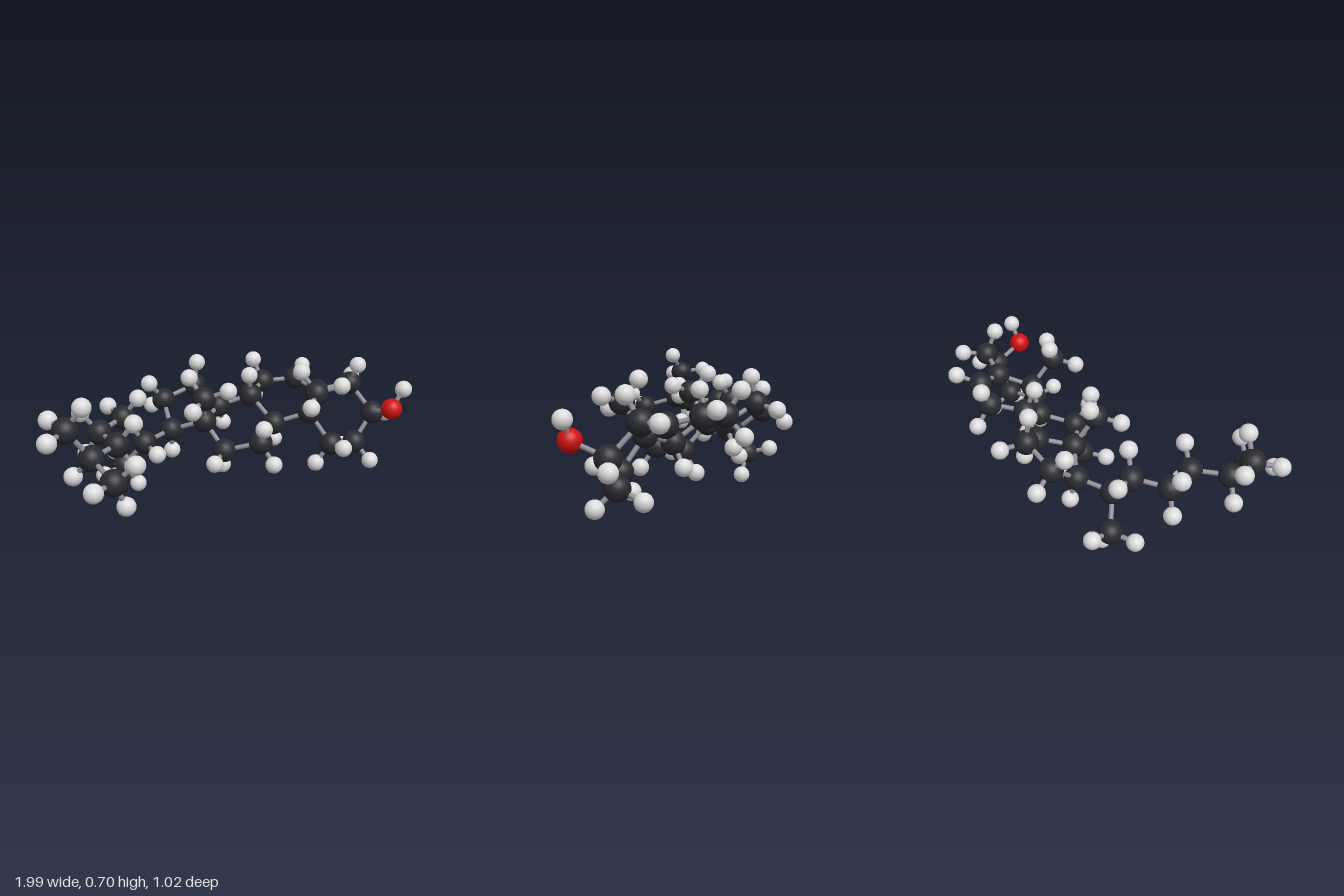
import * as THREE from 'three';

const V = (x, y, z) => new THREE.Vector3(x, y, z);
const H_LENGTH = 0.129;

// Carbon positions, numbered along the skeleton; the last entry is the oxygen
const HEAVY = {
  1: V(0.55, 0.25, 0.19), 2: V(0.725, 0.22, 0.155), 3: V(0.83, 0.37, 0.16), 4: V(0.765, 0.51, 0.04),
  5: V(0.6, 0.475, -0.025), 6: V(0.56, 0.51, -0.18), 7: V(0.4, 0.495, -0.255), 8: V(0.26, 0.465, -0.145),
  9: V(0.317, 0.345, 0.003), 10: V(0.472, 0.405, 0.097), 11: V(0.172, 0.295, 0.117), 12: V(0.02, 0.248, 0.015),
  13: V(-0.035, 0.38, -0.097), 14: V(0.105, 0.41, -0.213), 15: V(0.032, 0.5, -0.347), 16: V(-0.145, 0.44, -0.36),
  17: V(-0.168, 0.32, -0.215), 18: V(-0.088, 0.53, 0), 19: V(0.43, 0.545, 0.215), 20: V(-0.343, 0.298, -0.152),
  21: V(-0.422, 0.158, -0.25), 22: V(-0.455, 0.448, -0.155), 23: V(-0.608, 0.425, -0.063), 24: V(-0.588, 0.415, 0.112),
  25: V(-0.745, 0.412, 0.215), 26: V(-0.85, 0.555, 0.205), 27: V(-0.713, 0.36, 0.398), O: V(0.82, 0.435, 0.325),
};

// Runs of bonded atoms: rings, side chain and branches
const CHAINS = [
  [1, 2, 3, 4, 5, 6, 7, 8, 9, 10, 1], [5, 10, 19], [9, 11, 12, 13, 14, 8], [14, 15, 16, 17, 13, 18],
  [17, 20, 22, 23, 24, 25, 26], [20, 21], [25, 27], [3, 'O'],
];
const NO_HYDROGEN = [5, 10, 13];

// Directions of the hydrogens that complete a carbon
function hydrogenDirections(id, links) {
  const here = HEAVY[id];
  const dirs = links[id].map((n) => HEAVY[n].clone().sub(here).normalize());
  const away = dirs.reduce((s, d) => s.sub(d), V(0, 0, 0)).normalize();
  if (dirs.length === 3 || id === 6) return [away];
  if (dirs.length === 2) {
    const side = dirs[0].clone().cross(dirs[1]).normalize();
    return [1, -1].map((s) => away.clone().multiplyScalar(0.588).addScaledVector(side, s * 0.809));
  }
  // Methyl end, staggered against its parent carbon
  const parent = links[id][0];
  const other = links[parent].find((n) => n !== id);
  const out = HEAVY[other].clone().sub(HEAVY[parent]);
  out.addScaledVector(away, -out.dot(away)).normalize();
  const first = away.clone().multiplyScalar(0.333).addScaledVector(out, -0.943);
  return [0, 1, 2].map((k) => first.clone().applyAxisAngle(away, (k * Math.PI * 2) / 3));
}

export function createModel() {
  const model = new THREE.Group();
  model.name = 'moleculeModel';
  const material = (name, color) => {
    const m = new THREE.MeshStandardMaterial({ color });
    m.name = name;
    return m;
  };
  const charcoal = material('charcoal', 0x2a2b31);
  const paleGrey = material('paleGrey', 0xdadada);
  const red = material('red', 0xd01010);
  const stickGrey = material('stickGrey', 0x8c8c92);

  const ball = (r) => new THREE.SphereGeometry(r, 24, 16);
  const carbonBall = ball(0.06), hydrogenBall = ball(0.043), oxygenBall = ball(0.054);
  const stick = new THREE.CylinderGeometry(0.012, 0.012, 1, 12, 1, true);

  const parts = {};
  for (const name of ['carbonAtoms', 'hydrogenAtoms', 'oxygenAtoms', 'bonds']) {
    parts[name] = new THREE.Group();
    parts[name].name = name;
    model.add(parts[name]);
  }
  const addAtom = (group, name, geometry, mat, at) => {
    const mesh = new THREE.Mesh(geometry, mat);
    mesh.name = name;
    mesh.position.copy(at);
    parts[group].add(mesh);
  };
  const addBond = (a, b) => {
    const mesh = new THREE.Mesh(stick, stickGrey);
    const span = b.clone().sub(a);
    mesh.name = 'bond';
    mesh.position.copy(a).addScaledVector(span, 0.5);
    mesh.scale.y = span.length();
    mesh.quaternion.setFromUnitVectors(V(0, 1, 0), span.normalize());
    parts.bonds.add(mesh);
  };
  const addHydrogen = (from, at) => {
    addAtom('hydrogenAtoms', 'hydrogen', hydrogenBall, paleGrey, at);
    addBond(from, at);
  };

  // Skeleton bonds
  const links = {};
  for (const id of Object.keys(HEAVY)) links[id] = [];
  for (const chain of CHAINS) {
    for (let i = 1; i < chain.length; i++) {
      const a = chain[i - 1], b = chain[i];
      if (links[a].includes(b)) continue;
      links[a].push(b);
      links[b].push(a);
      addBond(HEAVY[a], HEAVY[b]);
    }
  }

  // Carbons with their hydrogens
  for (let id = 1; id <= 27; id++) {
    const at = HEAVY[id];
    addAtom('carbonAtoms', 'carbon', carbonBall, charcoal, at);
    if (NO_HYDROGEN.includes(id)) continue;
    for (const dir of hydrogenDirections(id, links)) {
      addHydrogen(at, at.clone().addScaledVector(dir, H_LENGTH));
    }
  }

  // Oxygen end
  addAtom('oxygenAtoms', 'oxygen', oxygenBall, red, HEAVY.O);
  addHydrogen(HEAVY.O, V(0.885, 0.533, 0.33));

  return model;
}
